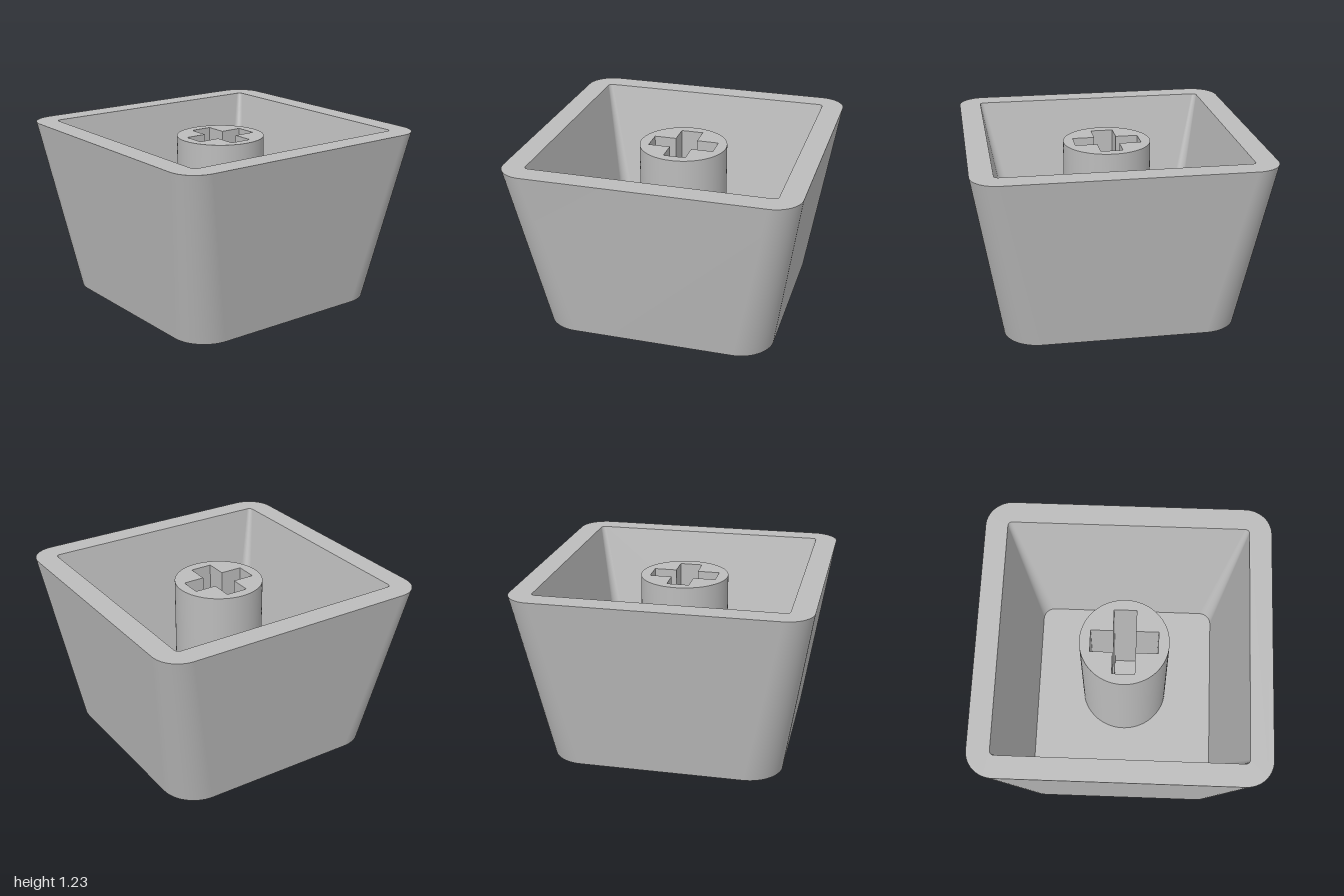
import * as THREE from 'three';
import { toCreasedNormals } from 'three/addons/utils/BufferGeometryUtils.js';

const HEIGHT = 1.225, FLOOR = 0.16, STEM_TOP = 1.155;
const CORNER_STEPS = 14;

// Counter-clockwise outline of a square with rounded corners
function roundedSquare(half, radius) {
  const points = [];
  for (let corner = 0; corner < 4; corner++) {
    const mid = Math.PI / 4 + corner * Math.PI / 2;
    const cx = Math.sign(Math.cos(mid)) * (half - radius);
    const cy = Math.sign(Math.sin(mid)) * (half - radius);
    for (let i = 0; i <= CORNER_STEPS; i++) {
      const a = (corner + i / CORNER_STEPS) * Math.PI / 2;
      points.push(new THREE.Vector2(cx + radius * Math.cos(a), cy + radius * Math.sin(a)));
    }
  }
  return points;
}

// Wall joining a low outline to a high one, facing outward or inward
function wall(low, yLow, high, yHigh, inward) {
  const positions = [], index = [], n = low.length;
  low.forEach((p) => positions.push(p.x, yLow, -p.y));
  high.forEach((p) => positions.push(p.x, yHigh, -p.y));
  for (let i = 0; i < n; i++) {
    const j = (i + 1) % n;
    if (inward) index.push(i, n + j, j, i, n + i, n + j);
    else index.push(i, j, n + j, i, n + j, n + i);
  }
  const geometry = new THREE.BufferGeometry();
  geometry.setAttribute('position', new THREE.Float32BufferAttribute(positions, 3));
  geometry.setIndex(index);
  geometry.computeVertexNormals();
  return geometry;
}

// Flat horizontal face, optionally with a hole
function plate(outline, y, up, hole) {
  const shape = new THREE.Shape(outline);
  if (hole) shape.holes.push(new THREE.Path(hole));
  return new THREE.ShapeGeometry(shape).rotateX(up ? -Math.PI / 2 : Math.PI / 2).translate(0, y, 0);
}

// Plus-shaped outline
function cross(reach, half) {
  const points = [];
  for (let i = 0; i < 4; i++) {
    for (const [x, y] of [[reach, -half], [reach, half], [half, half]]) {
      points.push(new THREE.Vector2(x, y).rotateAround(new THREE.Vector2(), i * Math.PI / 2));
    }
  }
  return points;
}

export function createModel() {
  const group = new THREE.Group();
  group.name = 'keycap';
  const grey = new THREE.MeshStandardMaterial({ color: 0xbcbcbc });
  grey.name = 'greyPlastic';
  const add = (name, geometry) => {
    const mesh = new THREE.Mesh(geometry, grey);
    mesh.name = name;
    group.add(mesh);
  };

  const outerLow = roundedSquare(0.805, 0.24), outerHigh = roundedSquare(1, 0.185);
  const innerLow = roundedSquare(0.65, 0.085), innerHigh = roundedSquare(0.845, 0.03);

  // Hollow tapered shell
  add('outerWall', wall(outerLow, 0, outerHigh, HEIGHT, false));
  add('innerWall', wall(innerLow, FLOOR, innerHigh, HEIGHT, true));
  add('rim', plate(outerHigh, HEIGHT, true, innerHigh));
  add('innerFloor', plate(innerLow, FLOOR, true));
  add('base', plate(outerLow, 0, false));

  // Round stem with a cross-shaped socket
  const stem = new THREE.Shape().absarc(0, 0, 0.308, 0, Math.PI * 2, false);
  stem.holes.push(new THREE.Path(cross(0.233, 0.078)));
  const stemGeometry = new THREE.ExtrudeGeometry(stem, {
    depth: STEM_TOP - FLOOR + 0.01, bevelEnabled: false, curveSegments: 64,
  });
  stemGeometry.rotateX(-Math.PI / 2).translate(0, FLOOR - 0.01, 0);
  add('stem', toCreasedNormals(stemGeometry, 0.6));

  return group;
}
